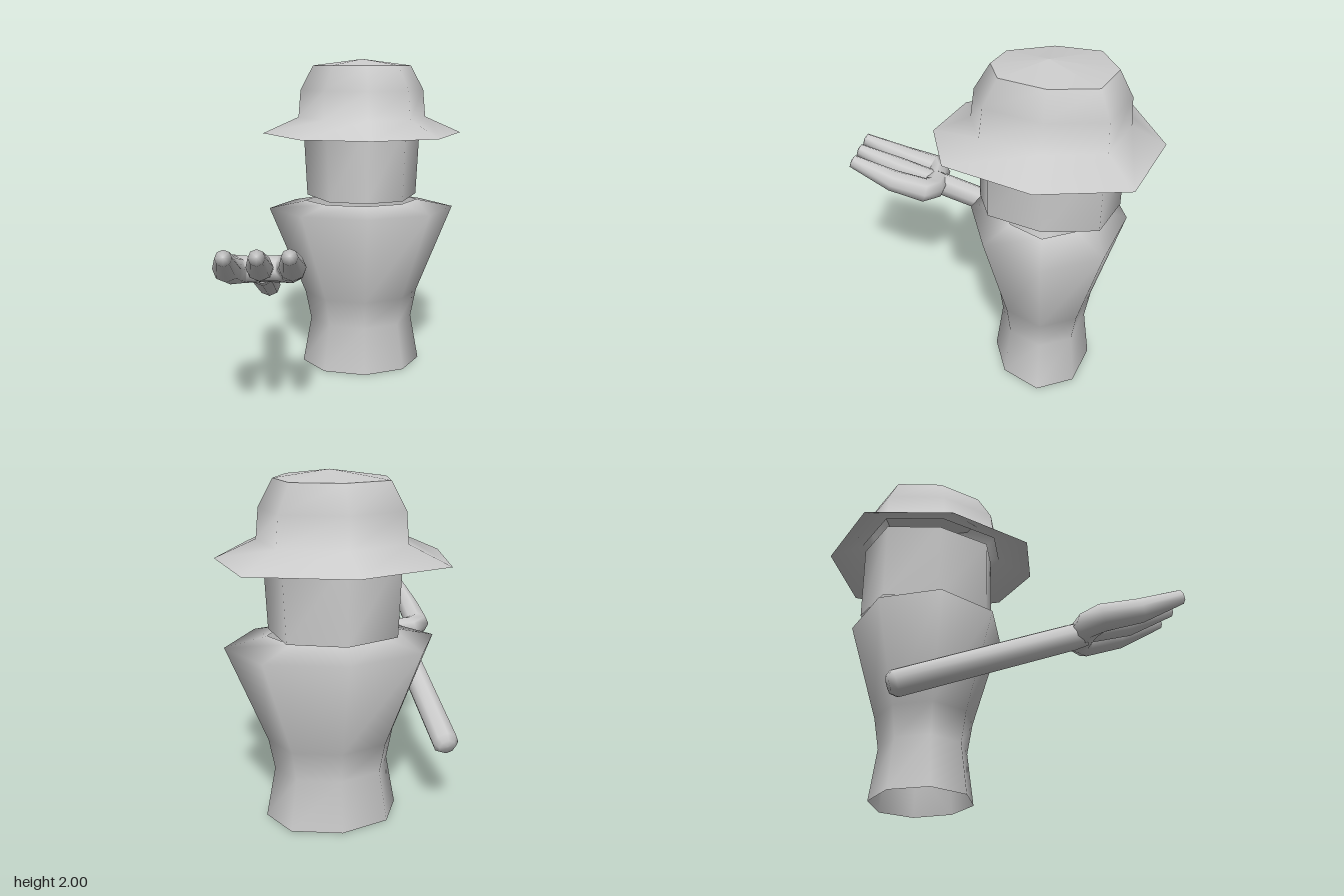
import * as THREE from 'three';

const material = new THREE.MeshStandardMaterial({ color: 0xcccccc, side: THREE.DoubleSide });

// Skins a list of rings (each a closed loop of points) with smooth normals
function loft(name, rings) {
  const n = rings[0].length, index = [];
  for (let i = 0; i < rings.length - 1; i++) {
    for (let j = 0; j < n; j++) {
      const a = i * n + j, b = i * n + (j + 1) % n;
      index.push(a, a + n, b, b, a + n, b + n);
    }
  }
  const geometry = new THREE.BufferGeometry().setFromPoints(rings.flat());
  geometry.setIndex(index);
  geometry.computeVertexNormals();
  const mesh = new THREE.Mesh(geometry, material);
  mesh.name = name;
  return mesh;
}

// Eight-sided outlines as [x, z], starting at the back
const outline = (back, side, front) => [
  [0, -1], back, side, front, [0, 1],
  ...[front, side, back].map(([x, z]) => [-x, z]),
];
const hatOutline = outline([0.85, -0.72], [1, 0.05], [0.64, 0.81]);
const bodyOutline = outline([0.72, -0.72], [1, 0], [0.66, 0.72]);

// Stacks outlines around the upright axis; each row is [y, rx, rz, zCentre]
const stack = (name, shape, rows) => loft(name, rows.map(([y, rx, rz, zc]) =>
  shape.map(([x, z]) => new THREE.Vector3(0.113 + x * rx, y, zc + z * rz))));

// Tapered limb along a path; each row is [x, y, z, radius]
function limb(name, rows, sides = 8) {
  const points = rows.map(([x, y, z]) => new THREE.Vector3(x, y, z));
  const up = new THREE.Vector3(0, 1, 0);
  return loft(name, points.map((p, i) => {
    const t = points[Math.min(i + 1, points.length - 1)].clone()
      .sub(points[Math.max(i - 1, 0)]).normalize();
    const s = t.clone().cross(up).normalize();
    const u = s.clone().cross(t);
    return Array.from({ length: sides }, (_, k) => {
      const angle = (k / sides) * Math.PI * 2;
      return p.clone()
        .addScaledVector(s, Math.cos(angle) * rows[i][3])
        .addScaledVector(u, Math.sin(angle) * rows[i][3]);
    });
  }));
}

export function createModel() {
  const model = new THREE.Group();
  model.name = 'figure';

  // Waisted torso, open at both ends
  model.add(stack('torso', bodyOutline, [
    [0, 0.39, 0.30, -0.36],
    [0.30, 0.335, 0.26, -0.36],
    [0.48, 0.37, 0.29, -0.36],
    [1.05, 0.60, 0.46, -0.36],
    [1.10, 0.36, 0.26, -0.35],
  ]));

  // Floating head, running up into the hat
  model.add(stack('head', hatOutline, [
    [1.14, 0.353, 0.41, -0.365],
    [1.60, 0.375, 0.41, -0.365],
  ]));

  // Hat with a drooping brim and a shallow peaked top
  const hat = new THREE.Group();
  hat.name = 'hat';
  hat.add(stack('brimAndCrown', hatOutline, [
    [1.54, 0.63, 0.65, -0.34],
    [1.64, 0.405, 0.445, -0.35],
    [1.81, 0.39, 0.43, -0.355],
    [1.96, 0.31, 0.345, -0.36],
  ]));
  hat.add(stack('hatTop', hatOutline, [
    [1.96, 0.31, 0.345, -0.36],
    [2.0, 0, 0, -0.33],
  ]));
  model.add(hat);

  // Straight arm sloping up to the front
  const armX = -0.508;
  model.add(limb('arm', [
    [armX, 0.452, -0.625, 0],
    [armX, 0.453, -0.622, 0.05],
    [armX, 0.465, -0.59, 0.077],
    [armX, 0.81, 0.36, 0.077],
    [armX, 0.84, 0.44, 0.07],
  ]));

  // Three-fingered hand
  const hand = new THREE.Group();
  hand.name = 'hand';
  hand.add(limb('middleFinger', [
    [armX, 0.83, 0.38, 0.065],
    [armX, 0.86, 0.48, 0.065],
    [armX, 0.925, 0.69, 0.073],
    [armX, 1.045, 0.965, 0.043],
    [armX, 1.05, 0.973, 0],
  ]));
  for (const side of [-1, 1]) {
    hand.add(limb('outerFinger', [
      [armX, 0.85, 0.435, 0.075],
      [armX + side * 0.10, 0.85, 0.44, 0.078],
      [armX + side * 0.165, 0.865, 0.49, 0.082],
      [armX + side * 0.172, 0.925, 0.70, 0.073],
      [armX + side * 0.16, 1.045, 0.965, 0.043],
      [armX + side * 0.16, 1.05, 0.973, 0],
    ]));
  }
  model.add(hand);

  return model;
}
